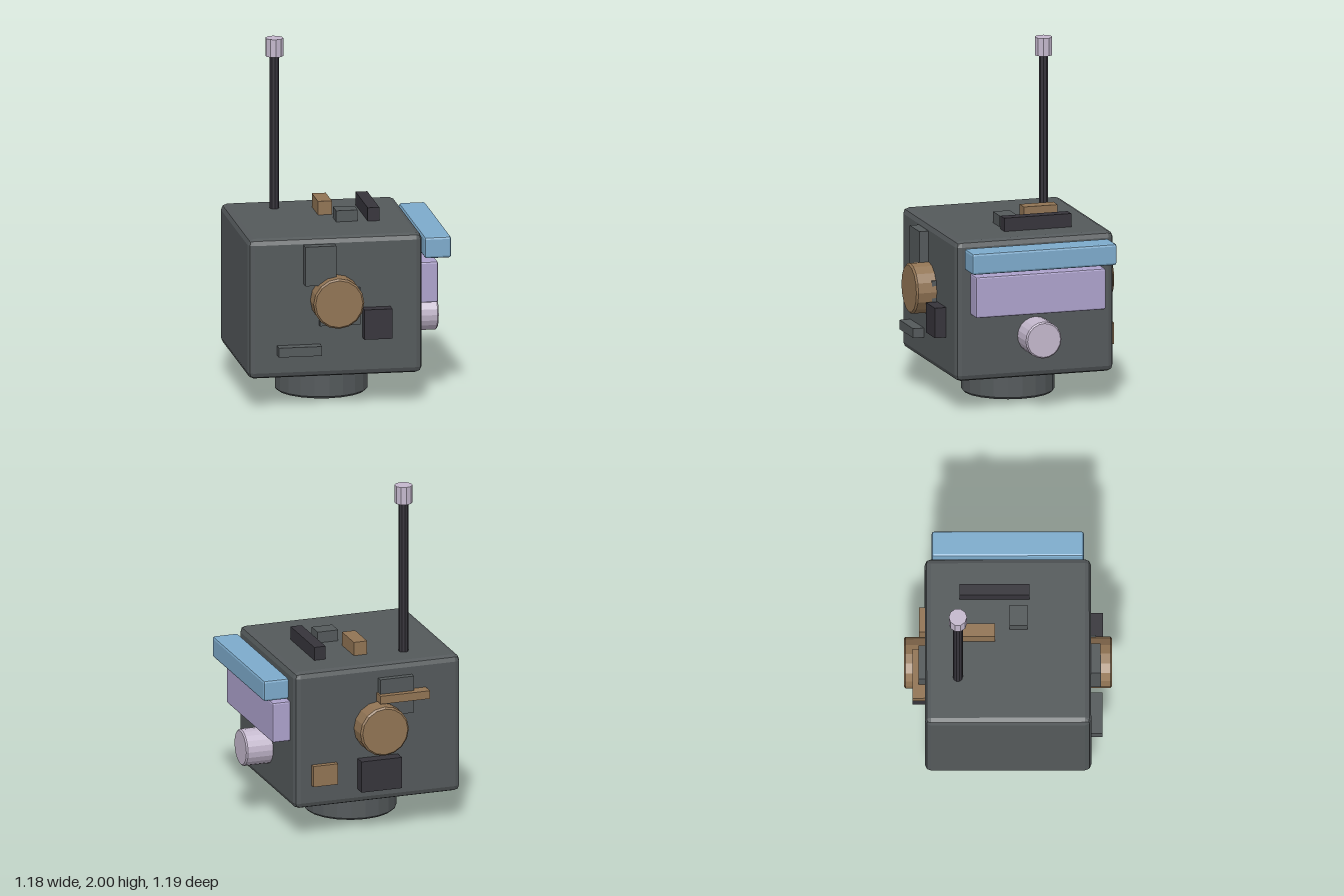
import * as THREE from 'three';
import { RoundedBoxGeometry } from 'three/addons/geometries/RoundedBoxGeometry.js';

function material(name, color) {
  const m = new THREE.MeshStandardMaterial({ color, flatShading: true });
  m.name = name;
  return m;
}

export function createModel() {
  const group = new THREE.Group();
  const gray = material('slate gray', 0x54595b);
  const dark = material('charcoal', 0x36343b);
  const brown = material('bronze', 0x917454);
  const blue = material('sky blue', 0x7dabcc);
  const purple = material('lavender', 0xada2cc);
  const pink = material('pale lilac', 0xc4b8cd);

  const add = (name, geometry, mat) => {
    const mesh = new THREE.Mesh(geometry, mat);
    mesh.name = name;
    group.add(mesh);
    return mesh;
  };

  // Box given by its limits on each axis, optionally with chamfered edges
  const box = (name, mat, [x0, x1], [y0, y1], [z0, z1], bevel = 0) => {
    const size = [x1 - x0, y1 - y0, z1 - z0];
    const geometry = bevel
      ? new RoundedBoxGeometry(...size, 1, bevel)
      : new THREE.BoxGeometry(...size);
    add(name, geometry, mat).position.set((x0 + x1) / 2, (y0 + y1) / 2, (z0 + z1) / 2);
  };

  // Upright drum from y = 0 to h with chamfered rims
  const drum = (name, mat, r, h, sides, bevel) => {
    const profile = [
      [0, 0], [r - bevel, 0], [r, bevel], [r, h - bevel], [r - bevel, h], [0, h],
    ].map(([x, y]) => new THREE.Vector2(x, y));
    return add(name, new THREE.LatheGeometry(profile, sides), mat);
  };

  // Head and neck
  box('head', gray, [-0.595, 0.415], [0.18, 1.0], [-0.475, 0.475], 0.035);
  drum('neck', gray, 0.267, 0.19, 20, 0.012).position.set(-0.09, 0, 0);

  // Face
  box('brow', blue, [0.435, 0.59], [0.84, 0.965], [-0.435, 0.435], 0.014);
  box('eyePanel', purple, [0.39, 0.52], [0.57, 0.81], [-0.39, 0.39], 0.01);
  const nose = drum('nose', pink, 0.107, 0.185, 20, 0.008);
  nose.rotation.z = -Math.PI / 2;
  nose.position.set(0.39, 0.427, 0);

  // Ears on both sides
  for (const side of [1, -1]) {
    const ear = drum('ear', brown, 0.147, 0.145, 16, 0.01);
    ear.rotation.x = side * Math.PI / 2;
    ear.position.set(-0.09, 0.633, side * 0.45);
  }

  // Antenna
  const rod = add('antennaRod', new THREE.CylinderGeometry(0.028, 0.028, 0.92, 10), dark);
  rod.position.set(-0.312, 1.45, -0.287);
  const tip = add('antennaTip', new THREE.CylinderGeometry(0.052, 0.052, 0.105, 10), pink);
  tip.position.set(-0.312, 1.9475, -0.287);

  // Small plates on the front side
  const front = 0.46;
  box('frontUpperPlate', gray, [-0.275, -0.095], [0.73, 0.96], [front, 0.53]);
  box('frontMiddlePlate', gray, [-0.185, 0.05], [0.485, 0.7], [front, 0.502]);
  box('frontStrip', gray, [-0.43, -0.18], [0.32, 0.375], [front, 0.54]);
  box('frontDarkPlate', dark, [0.065, 0.228], [0.405, 0.58], [front, 0.543]);

  // Small plates on the rear side
  const rear = -0.46;
  box('rearUpperPlate', gray, [-0.295, -0.09], [0.7, 0.92], [-0.512, rear]);
  box('rearStrip', brown, [-0.38, -0.08], [0.785, 0.833], [-0.547, rear]);
  box('rearDarkPlate', dark, [-0.21, 0.035], [0.265, 0.45], [-0.545, rear]);
  box('rearSmallPlate', brown, [0.165, 0.315], [0.318, 0.442], [-0.507, rear]);

  // Small blocks on top
  box('topBronzeBlock', brown, [-0.096, -0.015], [0.98, 1.08], [-0.275, -0.073]);
  box('topGrayBlock', gray, [-0.023, 0.102], [0.98, 1.065], [0.01, 0.112]);
  box('topDarkBar', dark, [0.158, 0.226], [0.98, 1.078], [-0.278, 0.124]);

  return group;
}
